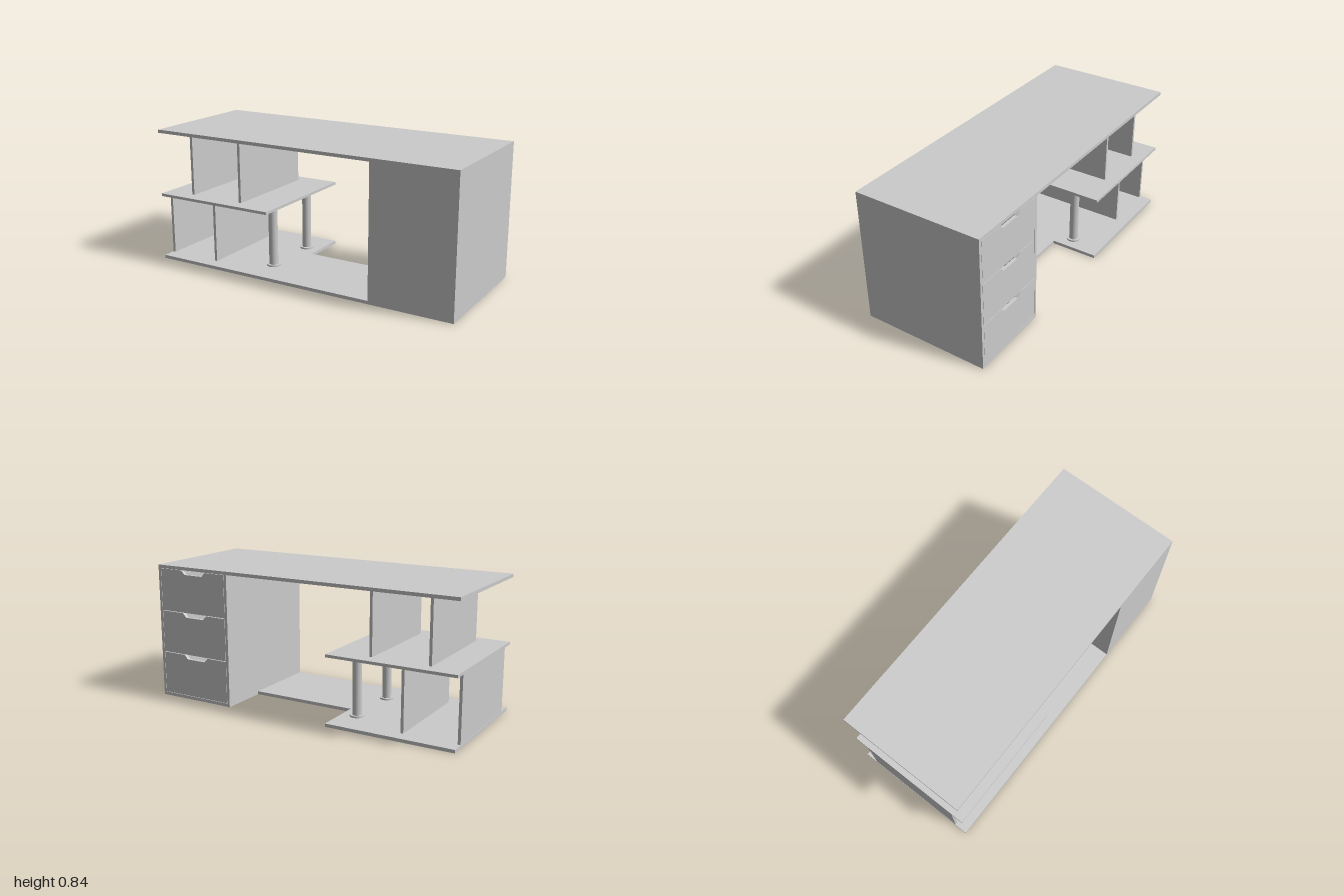
import * as THREE from 'three';

const material = new THREE.MeshStandardMaterial({ color: 0xcccccc, flatShading: false });
const T = 0.02; // board thickness of slabs
const P = 0.017; // thickness of the dividers

function add(parent, name, geometry) {
  const mesh = new THREE.Mesh(geometry, material);
  mesh.name = name;
  parent.add(mesh);
  return mesh;
}

// Box given by its lower and upper limits on each axis
function board(parent, name, [x0, x1], [y0, y1], [z0, z1]) {
  const mesh = add(parent, name, new THREE.BoxGeometry(x1 - x0, y1 - y0, z1 - z0));
  mesh.position.set((x0 + x1) / 2, (y0 + y1) / 2, (z0 + z1) / 2);
  return mesh;
}

function outline(points) {
  return new THREE.Shape(points.map(([x, y]) => new THREE.Vector2(x, y)));
}

// Round post with a flange at each end
function makePost(y0, y1) {
  const r = 0.028, flange = 0.043, h = 0.01;
  const profile = [[0, y0], [flange, y0], [flange, y0 + h], [r, y0 + h],
    [r, y1 - h], [flange, y1 - h], [flange, y1], [0, y1]];
  const group = new THREE.Group();
  // Separate lathe bands keep the rims sharp
  for (let i = 0; i < profile.length - 1; i++) {
    const pair = [profile[i], profile[i + 1]].map(([x, y]) => new THREE.Vector2(x, y));
    add(group, 'postBand', new THREE.LatheGeometry(pair, 32));
  }
  return group;
}

// Drawer: front with a finger cutout in its upper edge, and an open tray behind
function makeDrawer(y0, y1) {
  const group = new THREE.Group();
  const x0 = 0.5, x1 = 0.98, c = 0.73, d = 0.026;
  const front = outline([[x0, y0], [x1, y0], [x1, y1], [c + 0.09, y1],
    [c + 0.065, y1 - d], [c - 0.065, y1 - d], [c - 0.09, y1], [x0, y1]]);
  add(group, 'drawerFront', new THREE.ExtrudeGeometry(front, { depth: T, bevelEnabled: false }))
    .position.z = -0.4;
  const top = y1 - 0.06, z = [-0.38, 0.34];
  board(group, 'drawerFloor', [x0 + 0.01, x1 - 0.01], [y0 + 0.01, y0 + 0.02], z);
  board(group, 'drawerSide', [x0 + 0.01, x0 + 0.02], [y0 + 0.02, top], z);
  board(group, 'drawerSide', [x1 - 0.02, x1 - 0.01], [y0 + 0.02, top], z);
  board(group, 'drawerEnd', [x0 + 0.02, x1 - 0.02], [y0 + 0.02, top], [0.33, 0.34]);
  return group;
}

export function createModel() {
  const desk = new THREE.Group();
  desk.name = 'desk';
  const depth = [-0.4, 0.4], inset = [-0.32, 0.32];
  const low = T, high = 0.82, shelf = [0.414, 0.431];

  // Desktop and middle shelf
  board(desk, 'desktop', [-1, 1], [high, high + T], depth);
  board(desk, 'middleShelf', [-1, -0.2], shelf, depth);

  // Base slab with the leg-room notch at the back
  const base = outline([[-1, -0.4], [1, -0.4], [1, 0.4], [0.48, 0.4],
    [0.48, 0.1], [-0.2, 0.1], [-0.2, 0.4], [-1, 0.4]]);
  const slab = new THREE.ExtrudeGeometry(base, { depth: T, bevelEnabled: false });
  add(desk, 'baseSlab', slab.rotateX(-Math.PI / 2));

  // Upright dividers below and above the middle shelf
  for (const x of [-0.998, -0.658]) board(desk, 'lowerDivider', [x, x + P], [low, shelf[0]], inset);
  for (const x of [-0.818, -0.457]) board(desk, 'upperDivider', [x, x + P], [shelf[1], high], inset);

  // Posts under the free end of the shelf
  for (const z of [-0.192, 0.192]) {
    const post = makePost(low, shelf[0]);
    post.name = 'post';
    post.position.set(-0.295, 0, z);
    desk.add(post);
  }

  // Drawer cabinet
  const cabinet = new THREE.Group();
  cabinet.name = 'drawerCabinet';
  desk.add(cabinet);
  board(cabinet, 'cabinetSide', [0.48, 0.498], [low, high], depth);
  board(cabinet, 'cabinetSide', [0.982, 1], [low, high], depth);
  board(cabinet, 'cabinetFrontPanel', [0.498, 0.982], [low, high], [0.38, 0.4]);
  const pitch = (high - low) / 3;
  for (let i = 0; i < 3; i++) {
    const drawer = makeDrawer(low + i * pitch + 0.002, low + (i + 1) * pitch - 0.002);
    drawer.name = 'drawer';
    cabinet.add(drawer);
  }
  return desk;
}
